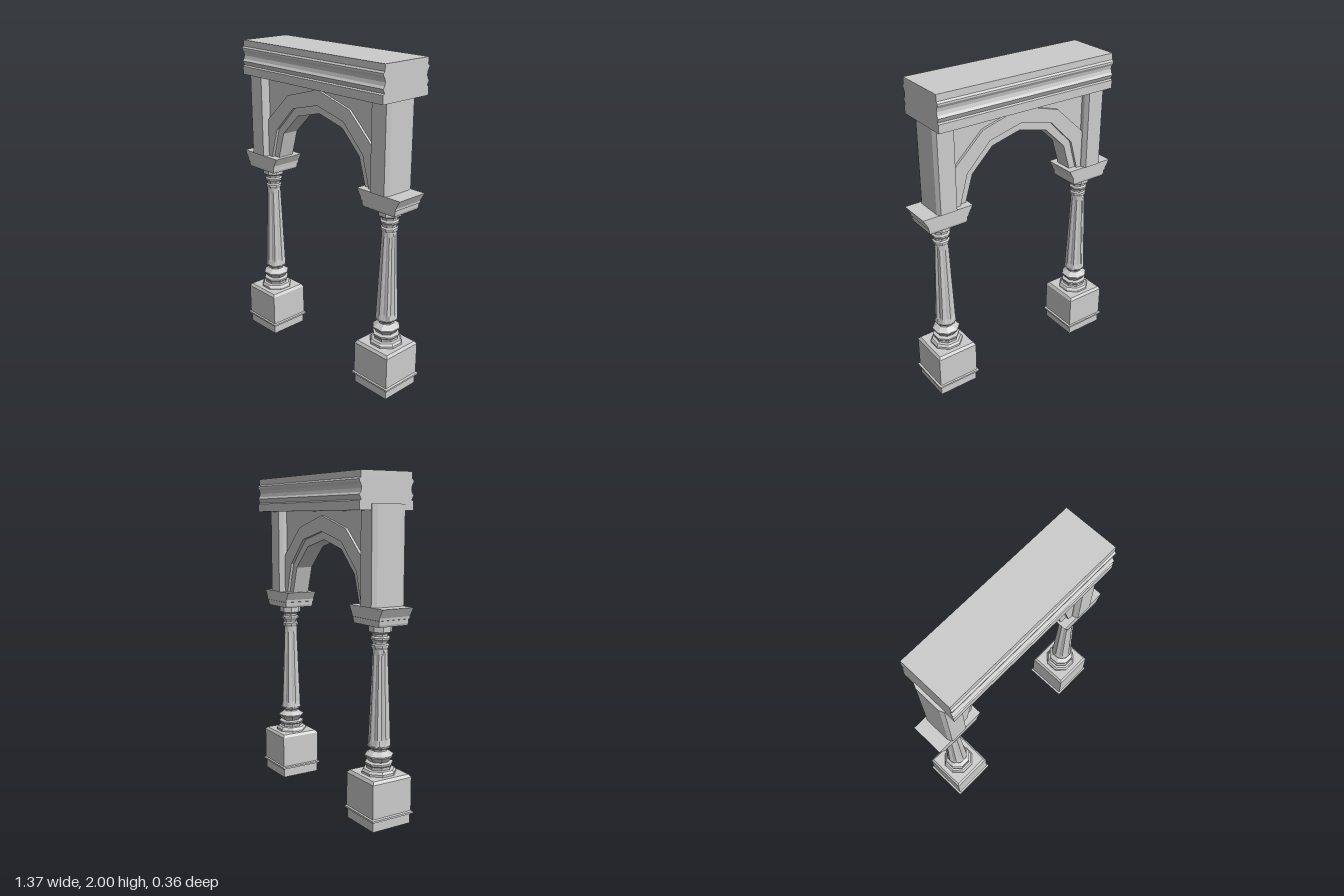
import * as THREE from 'three';

const material = new THREE.MeshStandardMaterial({ color: 0xcccccc, flatShading: true, side: THREE.DoubleSide });

function add(parent, name, geometry, x = 0, y = 0, z = 0) {
  const mesh = new THREE.Mesh(geometry, material);
  mesh.name = name;
  mesh.position.set(x, y, z);
  parent.add(mesh);
  return mesh;
}

// Rectangular tiers: each row is [y, half width, half depth]
function tiers(rows) {
  const pos = [], idx = [];
  for (const [y, w, d] of rows) pos.push(-w, y, d, w, y, d, w, y, -d, -w, y, -d);
  for (let r = 0; r < rows.length - 1; r++) {
    for (let i = 0; i < 4; i++) {
      const a = r * 4 + i, b = r * 4 + (i + 1) % 4;
      idx.push(a, b, b + 4, a, b + 4, a + 4);
    }
  }
  const t = (rows.length - 1) * 4;
  idx.push(0, 2, 1, 0, 3, 2, t, t + 1, t + 2, t, t + 2, t + 3);
  const g = new THREE.BufferGeometry();
  g.setAttribute('position', new THREE.Float32BufferAttribute(pos, 3));
  g.setIndex(idx);
  const flat = g.toNonIndexed();
  flat.computeVertexNormals();
  return flat;
}

// Eight-sided turned moulding, flat side to the front: rows of [half width, y]
function octagonal(rows) {
  const k = 1 / Math.cos(Math.PI / 8);
  const points = rows.map(([r, y]) => new THREE.Vector2(r * k, y));
  return new THREE.LatheGeometry(points, 8, Math.PI / 8);
}

// Tapered shaft with eight flutes that fade out at both ends
function flutedShaft() {
  const y0 = 0.46, y1 = 1.025, flutes = 8, per = 4;
  const g = new THREE.CylinderGeometry(0.043, 0.066, y1 - y0, flutes * per, 14, true);
  g.translate(0, (y0 + y1) / 2, 0);
  const p = g.attributes.position;
  for (let i = 0; i < p.count; i++) {
    const x = p.getX(i), y = p.getY(i), z = p.getZ(i);
    const fade = Math.min(1, Math.max(0, Math.min((y - y0) / 0.04, (y1 - y) / 0.04)));
    const wave = 0.5 - 0.5 * Math.cos(Math.atan2(x, z) * flutes);
    const s = 1 - 0.14 * fade * wave;
    p.setXYZ(i, x * s, y, z * s);
  }
  g.computeVertexNormals();
  return g;
}

// Symmetric extruded plate between two polylines given for the left half, apex last
const mirrored = half => [...half, ...half.slice(0, -1).reverse().map(([x, y]) => [-x, y])];
function plate(inner, outer, halfDepth) {
  const outline = [...mirrored(inner), ...mirrored(outer).reverse()];
  const shape = new THREE.Shape(outline.map(p => new THREE.Vector2(...p)));
  const g = new THREE.ExtrudeGeometry(shape, { depth: halfDepth * 2, bevelEnabled: false });
  return g.translate(0, 0, -halfDepth);
}

function makeColumn(name) {
  const column = new THREE.Group();
  column.name = name;
  // Square pedestal with plinth, trim and chamfered top
  add(column, 'pedestal', tiers([
    [0, 0.13, 0.13], [0.06, 0.13, 0.13], [0.062, 0.146, 0.143], [0.073, 0.146, 0.143],
    [0.077, 0.134, 0.134], [0.278, 0.134, 0.134], [0.295, 0.122, 0.122],
  ]));
  // Turned base below the shaft
  add(column, 'columnBase', octagonal([
    [0, 0.295], [0.094, 0.295], [0.094, 0.308], [0.084, 0.322], [0.068, 0.325], [0.07, 0.342],
    [0.077, 0.35], [0.077, 0.36], [0.055, 0.366], [0.079, 0.398], [0.079, 0.405],
    [0.045, 0.43], [0.046, 0.44], [0.062, 0.452], [0.066, 0.462], [0, 0.462],
  ]));
  add(column, 'shaft', flutedShaft());
  // Ringed neck above the shaft
  add(column, 'neck', octagonal([
    [0, 1.022], [0.043, 1.022], [0.049, 1.035], [0.049, 1.045], [0.04, 1.052], [0.041, 1.062],
    [0.053, 1.078], [0.053, 1.088], [0.043, 1.096], [0.045, 1.11], [0.064, 1.122], [0.064, 1.17],
  ]));
  // Capital, flaring sideways
  add(column, 'capital', tiers([
    [1.162, 0.12, 0.097], [1.175, 0.125, 0.1], [1.198, 0.127, 0.1],
    [1.2, 0.132, 0.104], [1.215, 0.134, 0.104], [1.265, 0.163, 0.104],
  ]));
  return column;
}

// Pier standing on a capital, with steep chamfers at its corners
function pierGeometry(top) {
  const w = 0.066, d = 0.111, cw = 0.013, cd = 0.028;
  const quarter = [[w, d - cd], [w - cw, d]];
  const outline = [
    ...quarter, ...quarter.map(([x, z]) => [-x, z]).reverse(),
    ...quarter.map(([x, z]) => [-x, -z]), ...quarter.map(([x, z]) => [x, -z]).reverse(),
  ];
  const shape = new THREE.Shape(outline.map(p => new THREE.Vector2(...p)));
  const g = new THREE.ExtrudeGeometry(shape, { depth: top - 1.265, bevelEnabled: false });
  return g.rotateX(-Math.PI / 2).translate(0, 1.265, 0);
}

export function createModel() {
  const model = new THREE.Group();
  model.name = 'archway';
  const z = 0.009;

  for (const [side, name] of [[-1, 'rightColumn'], [1, 'leftColumn']]) {
    const column = makeColumn(name);
    column.position.set(side * 0.524, 0, z);
    model.add(column);
  }

  // Piers and faceted arch sit slightly off centre
  const arch = new THREE.Group();
  arch.name = 'arch';
  arch.position.set(-0.007, 0, z);
  model.add(arch);
  for (const side of [-1, 1]) {
    add(arch, side < 0 ? 'rightPier' : 'leftPier', pierGeometry(1.825), side * 0.53);
  }
  const opening = [[-0.385, 1.265], [-0.335, 1.432], [-0.194, 1.57], [0, 1.62]];
  const step = [[-0.431, 1.265], [-0.379, 1.452], [-0.22, 1.615], [0, 1.67]];
  const bandEdge = [[-0.468, 1.265], [-0.468, 1.5], [-0.266, 1.69], [0, 1.765]];
  const frame = [[-0.475, 1.265], [-0.475, 1.81], [0, 1.81]];
  add(arch, 'innerArchRing', plate(opening, step, 0.056));
  add(arch, 'outerArchBand', plate(step, bandEdge, 0.074));
  add(arch, 'spandrel', plate(step, frame, 0.058));

  // Moulded beam across the top
  const side = [
    [0.18, 1.79], [0.18, 1.84], [0.168, 1.846], [0.182, 1.872], [0.171, 1.885],
    [0.166, 1.905], [0.17, 1.925], [0.181, 1.942], [0.181, 1.952], [0.171, 1.962], [0.17, 2],
  ];
  const outline = [...side, ...side.map(([x, y]) => [-x, y]).reverse()];
  const beam = new THREE.ExtrudeGeometry(
    new THREE.Shape(outline.map(p => new THREE.Vector2(...p))), { depth: 1.19, bevelEnabled: false });
  beam.translate(0, 0, -0.595).rotateY(Math.PI / 2);
  add(model, 'beam', beam, 0.011, 0, 0);

  return model;
}
